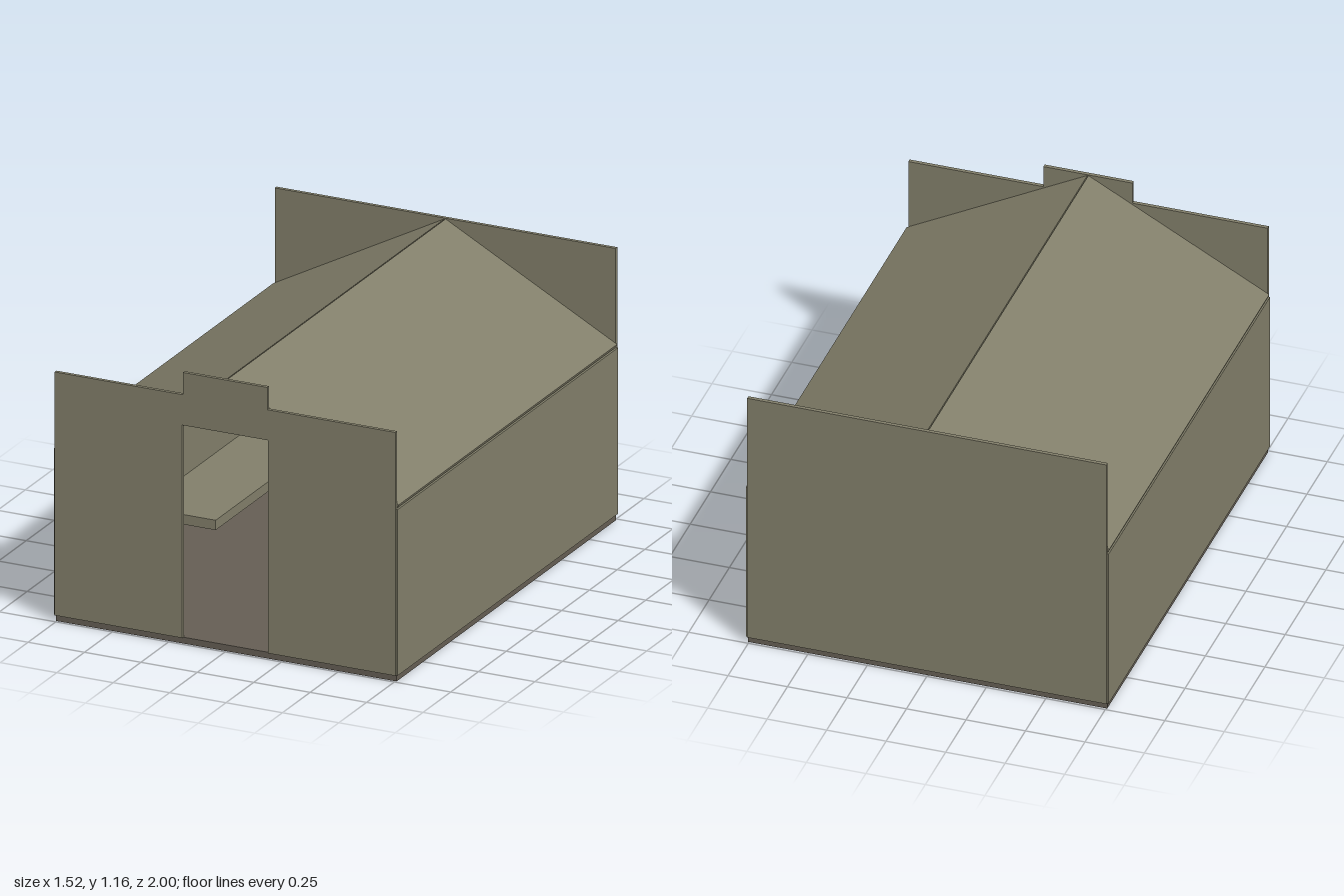
import * as THREE from 'three';

export function createModel() {
  const model = new THREE.Group();
  const stone = new THREE.MeshStandardMaterial({ name: 'stone', color: 0x827f6a });
  const darkWood = new THREE.MeshStandardMaterial({ name: 'darkWood', color: 0x655e54 });

  // Box given by its extents along x, y and z
  function block(name, mat, x0, x1, y0, y1, z0, z1, parent = model) {
    const mesh = new THREE.Mesh(new THREE.BoxGeometry(x1 - x0, y1 - y0, z1 - z0), mat);
    mesh.position.set((x0 + x1) / 2, (y0 + y1) / 2, (z0 + z1) / 2);
    mesh.name = name;
    parent.add(mesh);
    return mesh;
  }

  // Shape in the xy plane, extruded along z from z0 to z1
  function panel(name, mat, points, z0, z1) {
    const shape = new THREE.Shape(points.map(([x, y]) => new THREE.Vector2(x, y)));
    const geo = new THREE.ExtrudeGeometry(shape, { depth: z1 - z0, bevelEnabled: false });
    geo.translate(0, 0, z0);
    const mesh = new THREE.Mesh(geo, mat);
    mesh.name = name;
    model.add(mesh);
  }

  // Floor slab
  block('floor', darkWood, -0.755, 0.755, 0, 0.027, -0.99, 0.99);

  // Front wall with doorway and raised central parapet
  panel('frontWall', stone, [
    [-0.755, 0.027], [-0.19, 0.027], [-0.19, 0.935], [0.19, 0.935], [0.19, 0.027], [0.755, 0.027],
    [0.755, 1.065], [0.187, 1.065], [0.187, 1.16], [-0.187, 1.16], [-0.187, 1.065], [-0.755, 1.065],
  ], 0.984, 1);

  // Back wall
  block('backWall', stone, -0.755, 0.755, 0.027, 1.16, -1, -0.984);

  // Side walls and the two roof slopes
  for (const s of [-1, 1]) {
    const side = s > 0 ? 'left' : 'right';
    block(side + 'Wall', stone, s > 0 ? 0.748 : -0.762, s > 0 ? 0.762 : -0.748, 0.027, 0.735, -0.994, 0.994);
    panel(side + 'Roof', stone, [
      [s * 0.762, 0.752], [s * 0.002, 1.157], [s * 0.002, 1.142], [s * 0.757, 0.739],
    ], -0.984, 0.984);
  }

  // Hanging lamp
  block('lampCord', darkWood, -0.003, 0.003, 0.87, 1.142, -0.003, 0.003);
  block('lampShade', stone, -0.027, 0.027, 0.8, 0.873, -0.027, 0.027);

  // Books standing on a shelf: [x0, x1, top]
  function books(name, list, base, z0, z1) {
    const group = new THREE.Group();
    group.name = name;
    for (const [x0, x1, top] of list) block('book', stone, x0, x1, base, top, z0, z1, group);
    model.add(group);
  }

  // Upper bookcase
  block('upperCaseBack', darkWood, -0.18, 0.18, 0.262, 0.5, -0.984, -0.97);
  block('upperCaseTop', darkWood, -0.18, 0.18, 0.487, 0.5, -0.97, -0.86);
  block('upperCaseShelf', darkWood, -0.18, 0.18, 0.262, 0.278, -0.97, -0.86);
  for (const x of [-0.18, 0.166])
    block('upperCaseSide', darkWood, x, x + 0.014, 0.278, 0.487, -0.97, -0.86);
  books('upperBooks', [
    [-0.153, -0.135, 0.385], [-0.128, -0.095, 0.385], [-0.088, -0.056, 0.375],
    [-0.053, -0.018, 0.4], [-0.013, 0.017, 0.37], [0.022, 0.05, 0.4],
    [0.057, 0.09, 0.425], [0.095, 0.122, 0.39], [0.13, 0.163, 0.375],
  ], 0.278, -0.96, -0.88);

  // Lower bookcase along the back wall
  block('lowerCaseBack', darkWood, -0.73, 0.73, 0.03, 0.25, -0.984, -0.97);
  block('lowerCaseTop', darkWood, -0.73, 0.73, 0.247, 0.262, -0.97, -0.84);
  block('lowerCaseShelf', darkWood, -0.73, 0.73, 0.027, 0.04, -0.97, -0.84);
  const lower = [
    [-0.195, -0.18, 0.19], [-0.175, -0.14, 0.175], [-0.135, -0.106, 0.15],
    [0.104, 0.119, 0.175], [0.122, 0.146, 0.175], [0.15, 0.174, 0.165], [0.178, 0.195, 0.185],
  ];
  const heights = [0.18, 0.16, 0.19, 0.17, 0.15];
  for (const start of [-0.7, 0.23])
    for (let i = 0; i < 12; i++)
      lower.push([start + i * 0.039, start + i * 0.039 + 0.032, heights[i % 5]]);
  books('lowerBooks', lower, 0.04, -0.96, -0.87);

  // Central desk with a small cup
  block('desk', darkWood, -0.105, 0.105, 0.027, 0.225, -0.5, -0.3);
  block('cup', stone, -0.014, 0.014, 0.225, 0.265, -0.414, -0.386);

  // Bench top fixed to the right wall
  block('benchTop', stone, -0.748, -0.42, 0.18, 0.222, -0.75, 0.23);

  return model;
}
